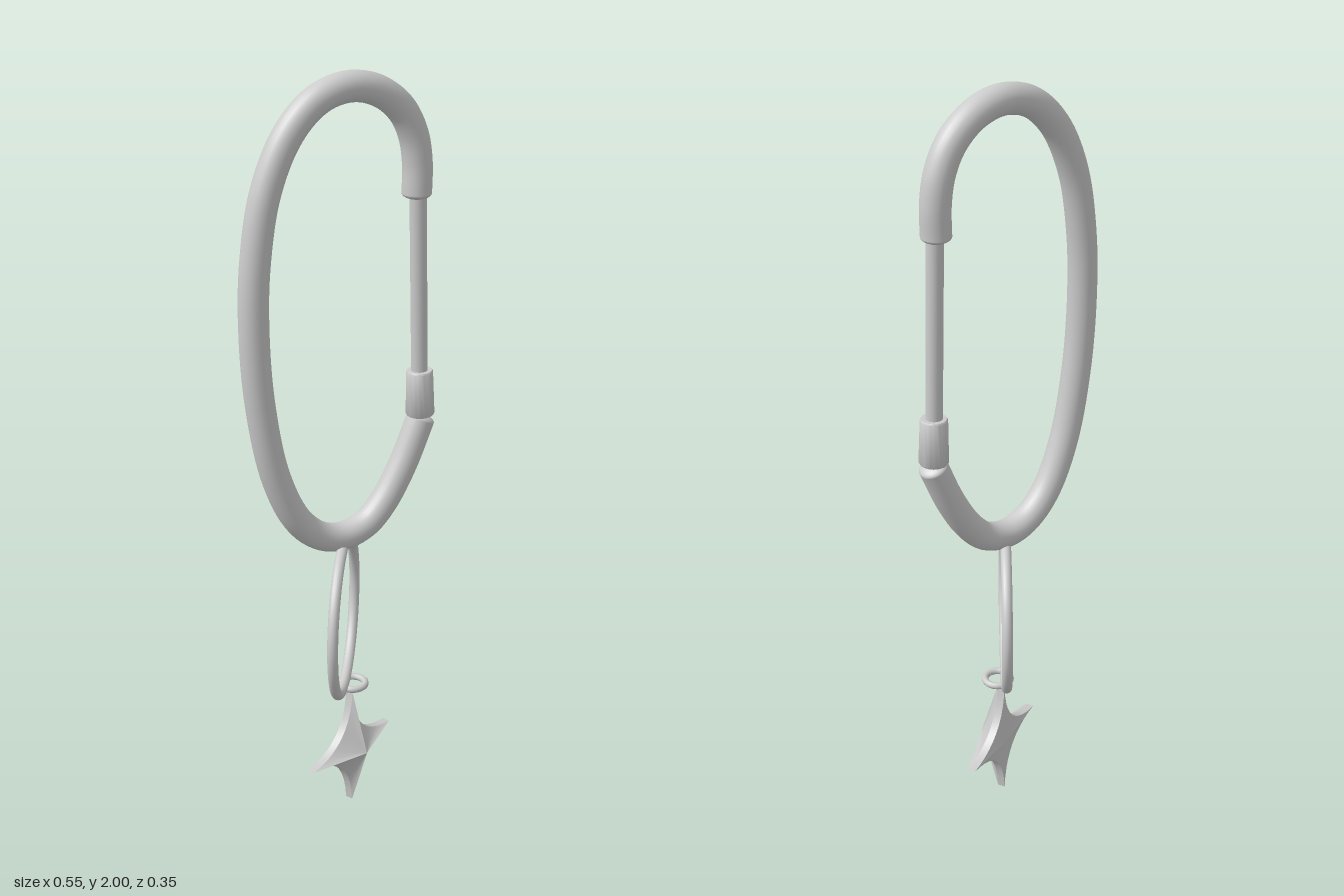
import * as THREE from 'three';
import { toCreasedNormals } from 'three/addons/utils/BufferGeometryUtils.js';

const material = new THREE.MeshStandardMaterial({ color: 0xcccccc });
const UP = new THREE.Vector3(0, 1, 0);

function add(parent, name, geometry) {
  const mesh = new THREE.Mesh(geometry, material);
  mesh.name = name;
  parent.add(mesh);
  return mesh;
}

// Four-pointed star: concave rim, raised off-centre front apex, nearly flat back
function starGeometry(rx, ry, apex, backApex, rimFront, rimBack) {
  const rim = [];
  const corners = [[rx, 0], [0, ry], [-rx, 0], [0, -ry]];
  const steps = 10;
  corners.forEach(([ax, ay], i) => {
    const [bx, by] = corners[(i + 1) % 4];
    for (let s = 0; s < steps; s++) {
      // quadratic arc pulled towards the centre
      const t = s / steps, a = (1 - t) ** 2, b = t * t, c = 2 * t * (1 - t) * 0.06;
      rim.push([ax * (a + c) + bx * (b + c), ay * (a + c) + by * (b + c)]);
    }
  });
  const pos = [];
  const tri = (...pts) => pts.forEach((p) => pos.push(...p));
  rim.forEach((p, i) => {
    const q = rim[(i + 1) % rim.length];
    const pf = [...p, rimFront], qf = [...q, rimFront];
    const pb = [...p, rimBack], qb = [...q, rimBack];
    tri(apex, pf, qf);
    tri(backApex, qb, pb);
    tri(pf, pb, qb);
    tri(pf, qb, qf);
  });
  const geometry = new THREE.BufferGeometry();
  geometry.setAttribute('position', new THREE.Float32BufferAttribute(pos, 3));
  return toCreasedNormals(geometry, 0.3);
}

export function createModel() {
  const model = new THREE.Group();
  model.name = 'clipKeyring';

  // Carabiner body: an open, egg-shaped loop of round bar
  const r = 0.037;
  const path = new THREE.CatmullRomCurve3([
    [0.213, 1.685], [0.213, 1.76], [0.2, 1.83], [0.165, 1.895], [0.1, 1.945],
    [0.02, 1.963], [-0.065, 1.94], [-0.14, 1.87], [-0.2, 1.745], [-0.231, 1.58],
    [-0.238, 1.42], [-0.225, 1.22], [-0.185, 1.02], [-0.125, 0.89], [-0.06, 0.83],
    [0.005, 0.813], [0.075, 0.832], [0.13, 0.885], [0.185, 0.975], [0.236, 1.09],
  ].map(([x, y]) => new THREE.Vector3(x, y, 0)), false, 'centripetal');
  const carabiner = new THREE.Group();
  carabiner.name = 'carabiner';
  model.add(carabiner);
  add(carabiner, 'body', new THREE.TubeGeometry(path, 140, r, 24));

  // Rounded bar ends
  for (const t of [0, 1]) {
    const end = add(carabiner, t ? 'lowerEnd' : 'upperEnd', new THREE.SphereGeometry(r, 24, 16));
    end.position.copy(path.getPoint(t));
    end.quaternion.setFromUnitVectors(UP, path.getTangent(t));
    end.scale.y = 0.4;
  }

  // Gate rod and its hinge sleeve, sharing one slight lean
  const lean = 0.03;
  const gate = add(carabiner, 'gate', new THREE.CylinderGeometry(0.021, 0.021, 0.54, 20));
  gate.position.set(0.224, 1.44, 0);
  gate.rotation.z = lean;
  const sleeve = add(carabiner, 'hingeSleeve', toCreasedNormals(new THREE.LatheGeometry([
    [0, -0.06], [0.034, -0.06], [0.037, -0.055], [0.034, 0.057], [0.031, 0.061], [0, 0.061],
  ].map(([x, y]) => new THREE.Vector2(x, y)), 28), 0.7));
  sleeve.position.set(0.233, 1.163, 0);
  sleeve.rotation.z = lean;

  // Split ring hanging from the carabiner, turned about the vertical
  const ring = add(model, 'keyRing', new THREE.TorusGeometry(0.208, 0.014, 16, 80));
  ring.position.set(0.01, 0.581, 0);
  ring.rotation.y = 0.9;

  // Small jump ring lying flat
  const jump = add(model, 'jumpRing', new THREE.TorusGeometry(0.034, 0.009, 12, 36));
  jump.position.set(0.037, 0.367, 0);
  jump.rotation.x = Math.PI / 2;

  // Star pendant
  const star = add(model, 'starPendant', starGeometry(
    0.165, 0.17, [-0.002, 0, 0.055], [0, 0, -0.027], 0.003, -0.018));
  star.position.set(0.034, 0.17, 0);
  star.rotation.y = 0.37;

  return model;
}
